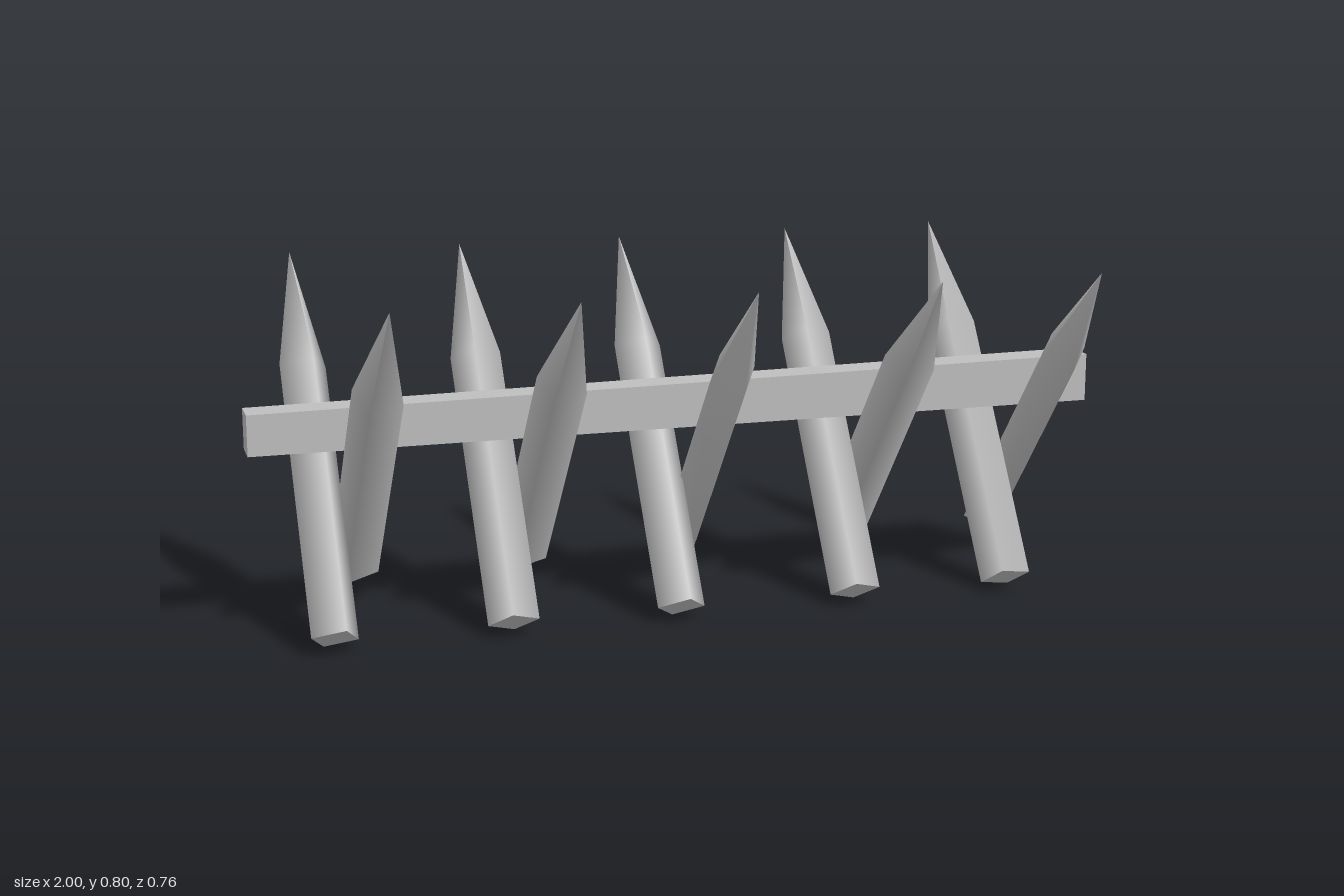
import * as THREE from 'three';

const RADIUS = 0.058, SHAFT = 0.65, LENGTH = 0.937;

export function createModel() {
  const group = new THREE.Group();
  const wood = new THREE.MeshStandardMaterial({ color: 0xbfbfbf });
  wood.name = 'greyWood';

  // Four-sided pointed stake, smooth along its sides, with a flat sawn foot
  const sides = new THREE.LatheGeometry([
    new THREE.Vector2(RADIUS, 0),
    new THREE.Vector2(RADIUS, SHAFT),
    new THREE.Vector2(0, LENGTH),
  ], 4);
  const foot = new THREE.CircleGeometry(RADIUS, 4).rotateX(Math.PI / 2);

  function addStake(name, x, y, z, tilt, yaw) {
    const stake = new THREE.Group();
    stake.name = name;
    const body = new THREE.Mesh(sides, wood);
    body.name = 'stakeBody';
    const cap = new THREE.Mesh(foot, wood);
    cap.name = 'stakeFoot';
    stake.add(body, cap);
    stake.position.set(x, y, z);
    stake.rotation.set(tilt, yaw, 0); // turn about its own axis, then lean
    group.add(stake);
  }

  // Crossed pairs: [x, yaw] of the stake leaning back and of the one leaning forward
  const pairs = [
    [-0.842, 0.35, -0.738, -0.46],
    [-0.441, -0.2, -0.334, -0.51],
    [-0.05, 0.14, 0.056, 0.29],
    [0.372, -0.24, 0.478, -0.46],
    [0.751, -0.46, 0.858, 0.14],
  ];
  for (const [xBack, yawBack, xFront, yawFront] of pairs) {
    addStake('backLeaningStake', xBack, 0.033, 0.155, -0.607, yawBack);
    addStake('frontLeaningStake', xFront, 0.083, -0.222, 0.7, yawFront);
  }

  // Long rail resting in the crossings, slightly thicker and further forward at its left end
  const railShape = new THREE.BoxGeometry(2, 1, 1);
  const p = railShape.attributes.position;
  for (let i = 0; i < p.count; i++) {
    const left = p.getX(i) > 0;
    const bottom = left ? 0.42 : 0.423, top = left ? 0.533 : 0.517;
    const back = left ? -0.046 : -0.053, front = left ? 0.031 : 0.021;
    p.setY(i, p.getY(i) > 0 ? top : bottom);
    p.setZ(i, p.getZ(i) > 0 ? front : back);
  }
  railShape.computeVertexNormals();
  const rail = new THREE.Mesh(railShape, wood);
  rail.name = 'rail';
  group.add(rail);

  return group;
}
